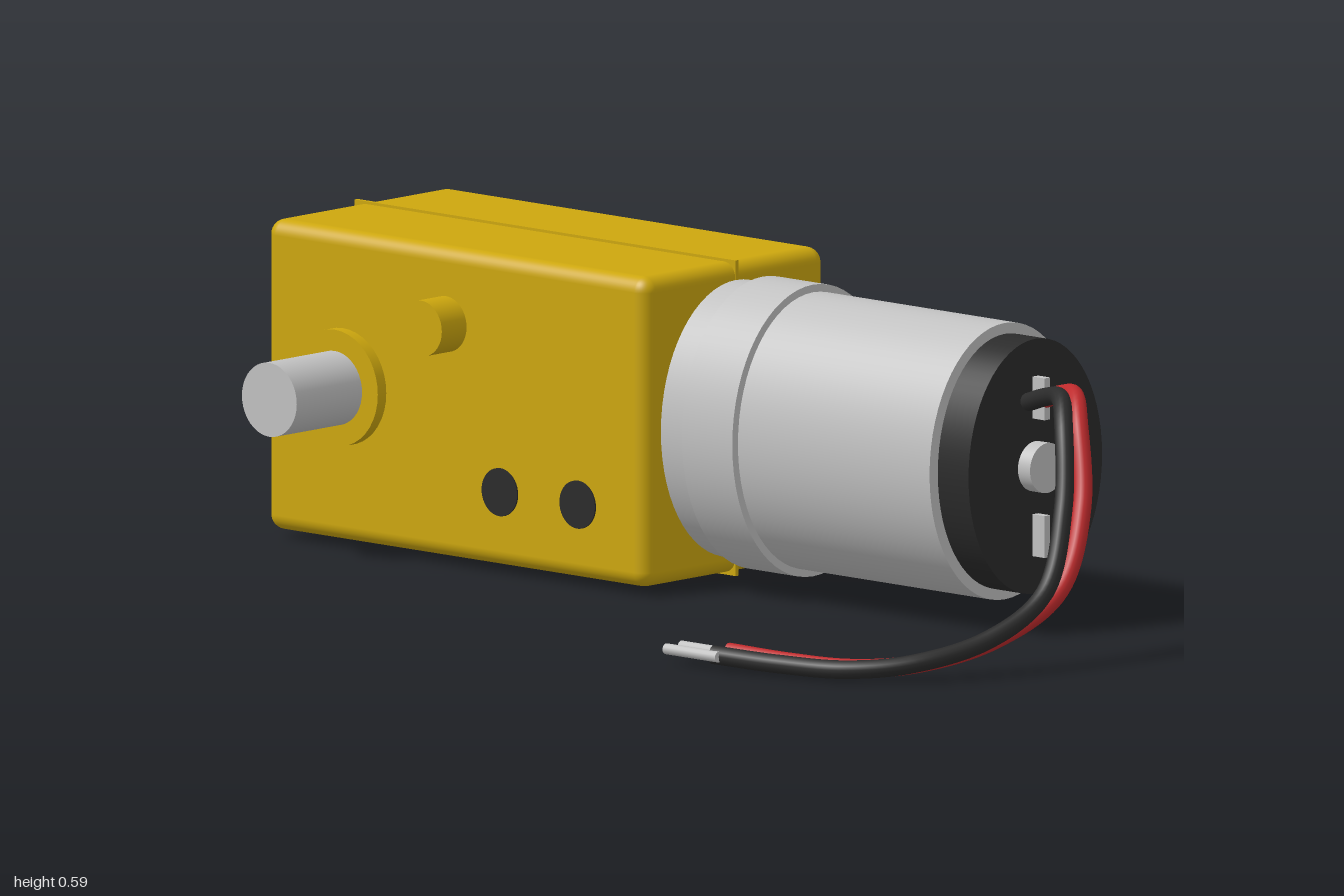
import * as THREE from 'three';
import { RoundedBoxGeometry } from 'three/addons/geometries/RoundedBoxGeometry.js';

const mat = (name, color) => {
  const m = new THREE.MeshStandardMaterial({ color });
  m.name = name;
  return m;
};

export function createModel() {
  const yellow = mat('housing yellow', 0xcda70e);
  const metal = mat('metal grey', 0xc2c2c2);
  const black = mat('black plastic', 0x2b2b2b);
  const red = mat('red insulation', 0xbf2a2c);
  const CY = 0.303, CZ = -0.148; // motor axis

  const root = new THREE.Group();
  root.name = 'gearMotor';
  const add = (name, geo, material, x = 0, y = 0, z = 0) => {
    const m = new THREE.Mesh(geo, material);
    m.name = name;
    m.position.set(x, y, z);
    root.add(m);
    return m;
  };
  // Cylinder along z between z0 and z1
  const zCyl = (name, material, x, y, r, z0, z1) =>
    add(name, new THREE.CylinderGeometry(r, r, z1 - z0, 40).rotateX(Math.PI / 2), material, x, y, (z0 + z1) / 2);
  // Elliptical cylinder along x between x0 and x1, on the motor axis
  const xCyl = (name, material, x0, x1, ry, rz) =>
    add(name, new THREE.CylinderGeometry(1, 1, x1 - x0, 64).rotateZ(Math.PI / 2).scale(1, ry, rz),
      material, (x0 + x1) / 2, CY, CZ);

  // Gearbox housing with the thin ridge where its halves meet
  add('gearboxHousing', new RoundedBoxGeometry(0.943, 0.57, 0.481, 5, 0.028), yellow, -0.5275, CY, CZ);
  add('housingSeam', new THREE.BoxGeometry(0.945, 0.58, 0.008), yellow, -0.5275, CY, -0.15);

  // Output shaft, its boss and the locating pin
  zCyl('outputShaft', metal, -0.805, CY, 0.068, -0.582, 0.288);
  zCyl('shaftBoss', yellow, -0.805, CY, 0.107, 0.05, 0.115);
  zCyl('locatingPin', yellow, -0.55, 0.448, 0.051, 0.05, 0.158);

  // Mounting holes on both faces
  for (const x of [-0.415, -0.222]) {
    zCyl('mountingHoleFront', black, x, 0.155, 0.044, 0.089, 0.0955);
    zCyl('mountingHoleBack', black, x, 0.155, 0.044, -0.393, -0.386);
  }

  // Motor can, collar, end cap and rear bearing
  xCyl('motorCan', metal, -0.07, 0.61, 0.254, 0.199);
  xCyl('motorCollar', metal, 0.01, 0.135, 0.268, 0.214);
  xCyl('motorEndCap', black, 0.6, 0.686, 0.234, 0.177);
  xCyl('rearBearing', metal, 0.68, 0.716, 0.046, 0.046);
  for (const y of [0.43, 0.177])
    add('terminalTab', new THREE.BoxGeometry(0.04, 0.077, 0.015), metal, 0.696, y, CZ);

  // Wires with bare tips
  const wire = (name, material, pts, tipZ) => {
    const curve = new THREE.CatmullRomCurve3(pts.map((p) => new THREE.Vector3(...p)));
    add(name + 'Wire', new THREE.TubeGeometry(curve, 90, 0.017, 14), material);
    const end = pts[pts.length - 1];
    const cap = add(name + 'WireEnd', new THREE.CircleGeometry(0.017, 14), material, ...end);
    cap.rotation.y = -Math.PI / 2;
    add(name + 'WireTip', new THREE.CylinderGeometry(0.01, 0.01, 0.13, 14).rotateZ(Math.PI / 2),
      metal, 0.505, 0.029, tipZ);
  };
  wire('black', black, [
    [0.705, 0.428, -0.11], [0.77, 0.448, -0.09], [0.835, 0.457, -0.055], [0.885, 0.42, -0.01],
    [0.945, 0.28, 0.055], [0.978, 0.14, 0.14], [0.962, 0.07, 0.27], [0.9, 0.035, 0.41],
    [0.81, 0.024, 0.485], [0.68, 0.024, 0.525], [0.545, 0.029, 0.555]], 0.567);
  wire('red', red, [
    [0.705, 0.428, -0.15], [0.77, 0.448, -0.13], [0.835, 0.457, -0.093], [0.885, 0.42, -0.05],
    [0.95, 0.28, 0.01], [0.982, 0.14, 0.105], [0.955, 0.065, 0.25], [0.885, 0.03, 0.385],
    [0.79, 0.02, 0.45], [0.67, 0.022, 0.487], [0.545, 0.029, 0.515]], 0.527);

  return root;
}
